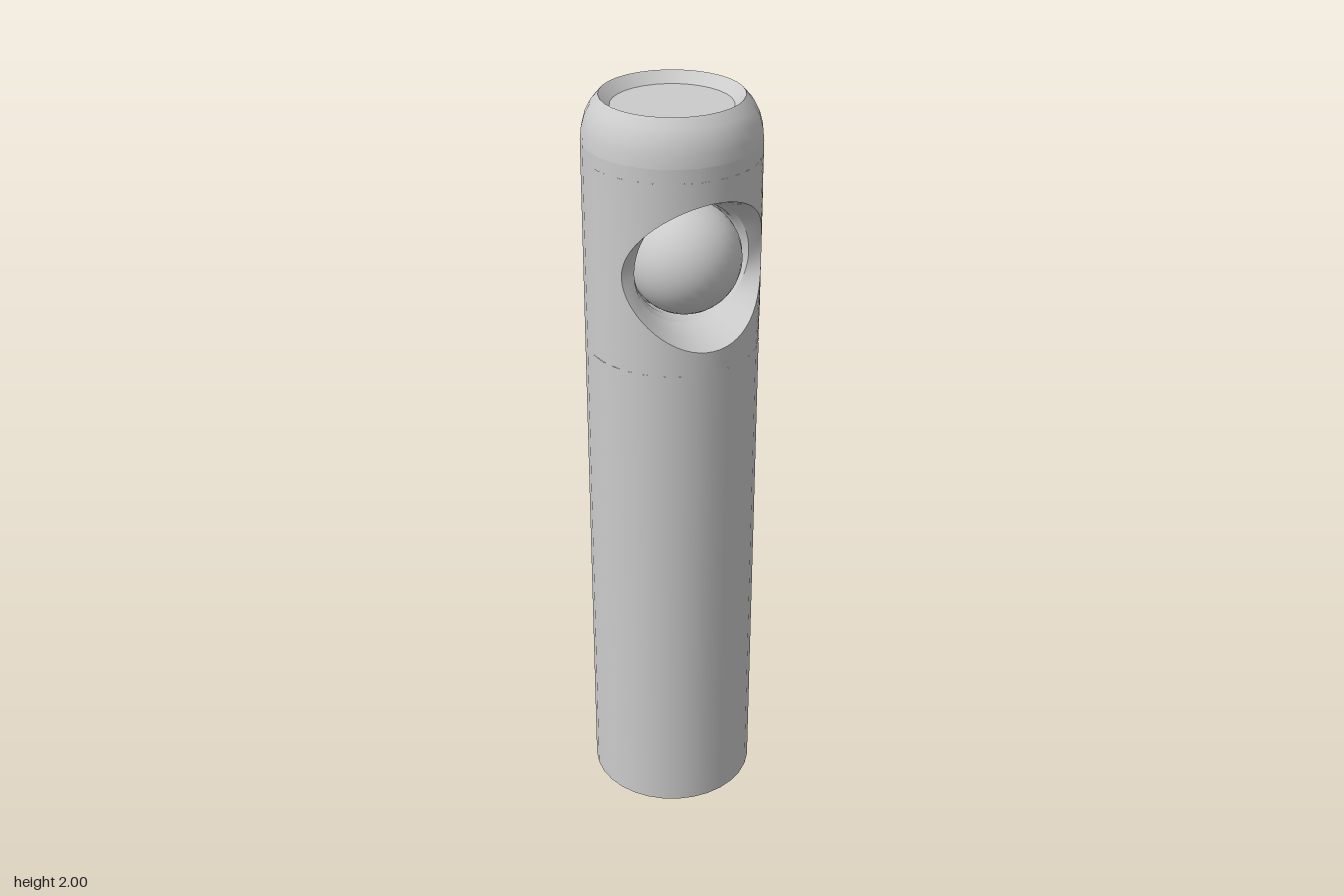
import * as THREE from 'three';

const R = 0.222;        // body radius
const HOLE_Y = 1.605;   // height of the ball socket
const HOLE_R = 0.193;   // mouth of the socket
const Y0 = 1.355, Y1 = 1.855; // band that holds the socket

const mat = new THREE.MeshStandardMaterial({ color: 0xcccccc });

function add(group, name, geometry) {
  const mesh = new THREE.Mesh(geometry, mat);
  mesh.name = name;
  group.add(mesh);
  return mesh;
}

// Turned surface around the y axis; points run up the outside
function turned(points, start = 0, length = Math.PI * 2, segments = 32) {
  return new THREE.LatheGeometry(points.map(p => new THREE.Vector2(p[0], p[1])), segments, start, length);
}

// Closed loops of points joined into a skin; point(t, k) gives loop k at angle t
function skin(point, loops, n = 64) {
  const pos = [], index = [];
  for (let k = 0; k < loops; k++) {
    for (let i = 0; i < n; i++) pos.push(...point((i / n) * Math.PI * 2, k));
  }
  for (let k = 0; k < loops - 1; k++) {
    for (let i = 0; i < n; i++) {
      const a = k * n + i, b = k * n + (i + 1) % n;
      index.push(a, b, a + n, b, b + n, a + n);
    }
  }
  const g = new THREE.BufferGeometry();
  g.setAttribute('position', new THREE.Float32BufferAttribute(pos, 3));
  g.setIndex(index);
  g.computeVertexNormals();
  return g;
}

// Point on the circular mouth, lying on the cylinder
function mouth(t) {
  const x = HOLE_R * Math.cos(t);
  return [x, HOLE_Y + HOLE_R * Math.sin(t), Math.sqrt(R * R - x * x)];
}

// Flat ring of the socket at radius r and depth z
const ring = (r, z) => t => [r * Math.cos(t), HOLE_Y + r * Math.sin(t), z];

// Front half of the band: loops shrink from a rectangle to the round mouth
function frontPatch() {
  const loops = 9;
  const g = skin((t, k) => {
    const c = Math.cos(t), s = Math.sin(t), m = Math.max(Math.abs(c), Math.abs(s));
    const [mx, my] = mouth(t), f = k / (loops - 1);
    const angle = THREE.MathUtils.lerp((Math.PI / 2) * c / m, Math.asin(mx / R), f);
    const y = THREE.MathUtils.lerp(HOLE_Y + ((Y1 - Y0) / 2) * s / m, my, f);
    return [R * Math.sin(angle), y, R * Math.cos(angle)];
  }, loops);
  // Radial normals blend with the rest of the cylinder
  const p = g.attributes.position;
  for (let i = 0; i < p.count; i++) g.attributes.normal.setXYZ(i, p.getX(i) / R, 0, p.getZ(i) / R);
  return g;
}

export function createModel() {
  const model = new THREE.Group();
  model.name = 'cylinderWithBall';

  // Body
  const body = new THREE.Group();
  body.name = 'body';
  model.add(body);
  add(body, 'base', turned([[0, 0], [R, 0]]));
  add(body, 'lowerWall', turned([[R, 0], [R, Y0]]));
  add(body, 'backWall', turned([[R, Y0], [R, Y1]], Math.PI / 2, Math.PI, 16));
  add(body, 'frontWall', frontPatch());
  add(body, 'upperWall', turned([[R, Y1], [R, 1.89]]));

  // Rounded shoulder and shallow dished top
  add(body, 'shoulder', turned([[R, 1.89], [0.219, 1.92], [0.211, 1.95], [0.197, 1.977], [0.177, 2]]));
  add(body, 'topBevel', turned([[0.177, 2], [0.15, 1.973]]));
  add(body, 'topFloor', turned([[0.15, 1.973], [0, 1.973]]));

  // Socket: each step is its own skin so its edges stay sharp
  const socket = new THREE.Group();
  socket.name = 'socket';
  model.add(socket);
  const steps = [mouth, ring(0.158, 0.108), ring(0.148, 0.085), ring(0.148, 0.03), ring(0.001, 0.03)];
  for (let i = 0; i < steps.length - 1; i++) {
    add(socket, 'socketStep' + (i + 1), skin((t, k) => steps[i + k](t), 2));
  }

  // Ball
  add(model, 'ball', new THREE.SphereGeometry(0.143, 32, 24)).position.set(0, HOLE_Y, 0.067);

  return model;
}
